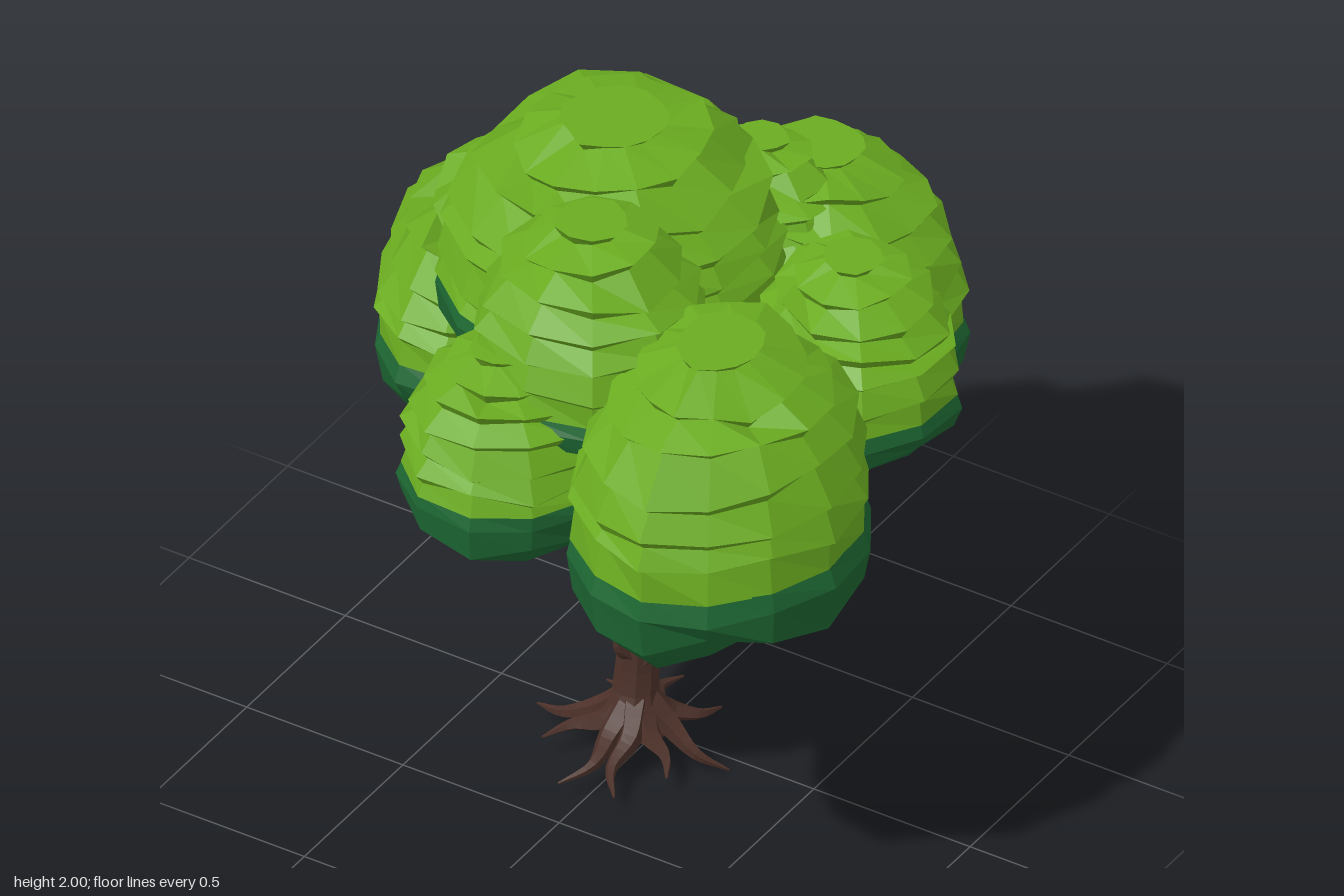
import * as THREE from 'three';

const material = (name, color) => {
  const m = new THREE.MeshStandardMaterial({ color, flatShading: true });
  m.name = name;
  return m;
};

// Small seeded generator, returns -1..1
function seeded(seed) {
  let s = seed * 7919 + 17;
  return () => {
    s = (s * 16807) % 2147483647;
    return (s / 2147483647) * 2 - 1;
  };
}

// Joins successive rings of points into a faceted surface
function skin(rings) {
  const pos = [];
  for (let k = 0; k < rings.length - 1; k++) {
    const u = rings[k], l = rings[k + 1], n = u.length;
    for (let i = 0; i < n; i++) {
      const j = (i + 1) % n;
      for (const p of [u[i], u[j], l[i], u[j], l[j], l[i]]) pos.push(p.x, p.y, p.z);
    }
  }
  const g = new THREE.BufferGeometry();
  g.setAttribute('position', new THREE.Float32BufferAttribute(pos, 3));
  g.computeVertexNormals();
  return g;
}

function addMesh(parent, name, geometry, mat) {
  const mesh = new THREE.Mesh(geometry, mat);
  mesh.name = name;
  parent.add(mesh);
}

// Tapered limb along a smooth path; radii are spread evenly along it
function limb(points, radii, sides = 6) {
  const curve = new THREE.CatmullRomCurve3(points.map(p => new THREE.Vector3(...p)));
  const steps = (points.length - 1) * 4;
  const { normals, binormals } = curve.computeFrenetFrames(steps);
  const rings = [];
  for (let i = 0; i <= steps; i++) {
    const t = i / steps, f = t * (radii.length - 1), k = Math.min(Math.floor(f), radii.length - 2);
    const r = THREE.MathUtils.lerp(radii[k], radii[k + 1], f - k), c = curve.getPointAt(t);
    rings.push(Array.from({ length: sides }, (_, s) => {
      const a = (s / sides) * Math.PI * 2;
      return c.clone().addScaledVector(normals[i], Math.cos(a) * r).addScaledVector(binormals[i], Math.sin(a) * r);
    }));
  }
  const close = t => Array(sides).fill(curve.getPointAt(t));
  return skin([close(0), ...rings, close(1)]);
}

// Leaf clump: tiered light dome over a ragged dark underside
function clump({ name, x, z, rx, rz, bottom, split, top }, index, light, dark) {
  const group = new THREE.Group();
  group.name = name;
  const rand = seeded(index + 3);
  const size = (rx + rz) / 2;
  const n = size > 0.34 ? 14 : 10;
  const lobes = Array.from({ length: n }, () => 1 + rand() * 0.03);
  const turn = rand() * 3;
  const ring = (r, y, jr = 0, jy = 0, tilt = 0) => {
    const phase = rand() * Math.PI;
    return lobes.map((lobe, i) => {
      const a = turn + (i / n) * Math.PI * 2, q = r * lobe * (1 + rand() * jr);
      const dy = rand() * jy + Math.sin(a + phase) * tilt;
      return new THREE.Vector3(x + Math.cos(a) * q * rx, y + dy, z + Math.sin(a) * q * rz);
    });
  };

  // Shingled tiers, each with a flared lip and an undercut edge of uneven depth
  const height = top - split;
  const radius = u => Math.sqrt(1 - Math.pow(u, 2.7));
  const undercut = lip => lip.map(p => {
    const s = 1 - 0.022 / Math.hypot(p.x - x, p.z - z);
    return new THREE.Vector3(x + (p.x - x) * s, p.y - 0.024 - 0.014 * rand(), z + (p.z - z) * s);
  });
  const cap = ring(0.31, top, 0.08);
  const rings = [ring(0, top), cap, undercut(cap)];
  for (const u of [0.87, 0.72, 0.54, 0.36, 0.18]) {
    const lip = ring(radius(u) * 1.03, split + u * height, 0.03, 0.05 * size, 0.05 * size);
    rings.push(lip, undercut(lip));
  }
  rings.push(ring(0.995, split, 0.02));
  addMesh(group, name + 'Top', skin(rings), light);

  // Underside
  const d = split - bottom;
  const hem = ring(0.98, split - 0.62 * d, 0.04, 0.16 * d);
  addMesh(group, name + 'Underside', skin([
    ring(0.99, split + 0.004),
    ring(1.025, split - 0.2 * d, 0.03, 0.05 * d),
    hem,
    ring(0.78, split - 0.8 * d, 0.07, 0.24 * d),
    ring(0.42, split - 0.8 * d, 0.12, 0.2 * d),
    ring(0, split - 0.82 * d),
  ]), dark);
  return group;
}

export function createModel() {
  const light = material('leafGreen', 0x6aab20);
  const dark = material('deepGreen', 0x1d6632);
  const bark = material('bark', 0x4c3129);
  const tree = new THREE.Group();
  tree.name = 'tree';

  // Foliage
  const foliage = new THREE.Group();
  foliage.name = 'foliage';
  [
    { name: 'crownClump', x: -0.18, z: -0.06, rx: 0.46, rz: 0.48, bottom: 1.28, split: 1.46, top: 1.95 },
    { name: 'backClump', x: 0.13, z: -0.62, rx: 0.4, rz: 0.355, bottom: 0.89, split: 1.1, top: 1.64 },
    { name: 'rightClump', x: -0.61, z: -0.2, rx: 0.32, rz: 0.45, bottom: 0.89, split: 1.11, top: 1.54 },
    { name: 'leftClump', x: 0.55, z: -0.12, rx: 0.29, rz: 0.28, bottom: 1.13, split: 1.32, top: 1.73 },
    { name: 'frontLeftClump', x: 0.53, z: 0.52, rx: 0.39, rz: 0.45, bottom: 0.97, split: 1.25, top: 1.83 },
    { name: 'highestClump', x: 0.06, z: 0.43, rx: 0.325, rz: 0.325, bottom: 1.37, split: 1.52, top: 2 },
    { name: 'frontRightClump', x: -0.08, z: 0.66, rx: 0.275, rz: 0.265, bottom: 1.07, split: 1.27, top: 1.66 },
    { name: 'innerBackClump', x: 0.03, z: -0.48, rx: 0.25, rz: 0.23, bottom: 1.2, split: 1.36, top: 1.71 },
  ].forEach((c, i) => foliage.add(clump(c, i, light, dark)));
  tree.add(foliage);

  // Trunk with two broken stubs
  const wood = new THREE.Group();
  wood.name = 'wood';
  addMesh(wood, 'trunk', limb([[-0.01, 0.08, 0.11], [-0.01, 0.25, 0.09], [0, 0.41, 0.09]],
    [0.1, 0.066, 0.06, 0.058], 9), bark);
  for (const [x, z] of [[0.095, 0.12], [-0.03, 0.17]]) {
    addMesh(wood, 'stub', limb([[x * 0.2, 0.32, 0.1], [x * 0.7, 0.37, z - 0.01], [x, 0.415, z]], [0.035, 0.008], 5), bark);
  }

  // Branches: radius at each end, then the path
  const branch = (start, end, ...path) => addMesh(wood, 'branch', limb(path, [start, end]), bark);

  // Left fork, reaching the left clumps
  branch(0.05, 0.028, [0, 0.34, 0.09], [0.07, 0.56, 0.08], [0.28, 0.78, 0.13]);
  branch(0.026, 0.014, [0.25, 0.74, 0.11], [0.4, 0.84, 0.3], [0.53, 1.1, 0.4]);
  branch(0.018, 0.012, [0.31, 0.79, 0.2], [0.42, 0.89, 0.22], [0.48, 1.08, 0.24]);
  branch(0.026, 0.014, [0.25, 0.75, 0.1], [0.35, 0.9, -0.08], [0.52, 1.24, -0.1]);

  // Right fork, reaching the right, crown and back clumps
  branch(0.048, 0.028, [-0.01, 0.34, 0.09], [-0.08, 0.52, 0.06], [-0.19, 0.73, -0.02]);
  branch(0.028, 0.014, [-0.17, 0.7, 0], [-0.34, 0.86, -0.1], [-0.54, 1, -0.2]);
  branch(0.02, 0.012, [-0.3, 0.82, -0.07], [-0.34, 1, -0.06], [-0.3, 1.4, -0.06]);
  branch(0.026, 0.014, [-0.17, 0.69, 0], [-0.1, 0.94, -0.16], [-0.17, 1.4, -0.1]);
  branch(0.02, 0.012, [-0.14, 0.8, -0.08], [-0.05, 0.89, -0.22], [0.12, 0.96, -0.52]);

  // Middle fork, reaching the front clumps
  branch(0.034, 0.013, [0.06, 0.53, 0.09], [-0.08, 0.82, 0.19], [-0.2, 1.2, 0.5]);
  branch(0.02, 0.013, [-0.09, 0.83, 0.2], [-0.02, 1.06, 0.28], [0.04, 1.45, 0.4]);
  branch(0.018, 0.012, [-0.09, 0.82, 0.2], [-0.08, 0.97, 0.34], [-0.04, 1.18, 0.55]);

  // Roots: tip x, y, z
  [
    [0.26, 0.004, 0.05], [0.18, 0.06, 0.24], [0.1, 0.05, 0.38], [-0.06, 0.055, 0.41], [-0.2, 0.07, 0.27],
    [-0.31, 0.05, 0.12], [-0.2, 0.06, -0.06], [-0.03, 0.065, -0.18], [0.13, 0.06, -0.12],
  ].forEach(([x, y, z], i) => {
    const at = (t, h, sway) => [x * t + (z - 0.1) * sway, h, 0.1 + (z - 0.1) * t - x * sway];
    const sway = i % 2 ? 0.1 : -0.1;
    addMesh(wood, 'root', limb([at(0.08, 0.18, 0), at(0.35, 0.11, 0), at(0.68, y * 0.5 + 0.05, sway), at(1, y, 0)],
      [0.042, 0.033, 0.017, 0.003], 5), bark);
  });
  tree.add(wood);
  return tree;
}
